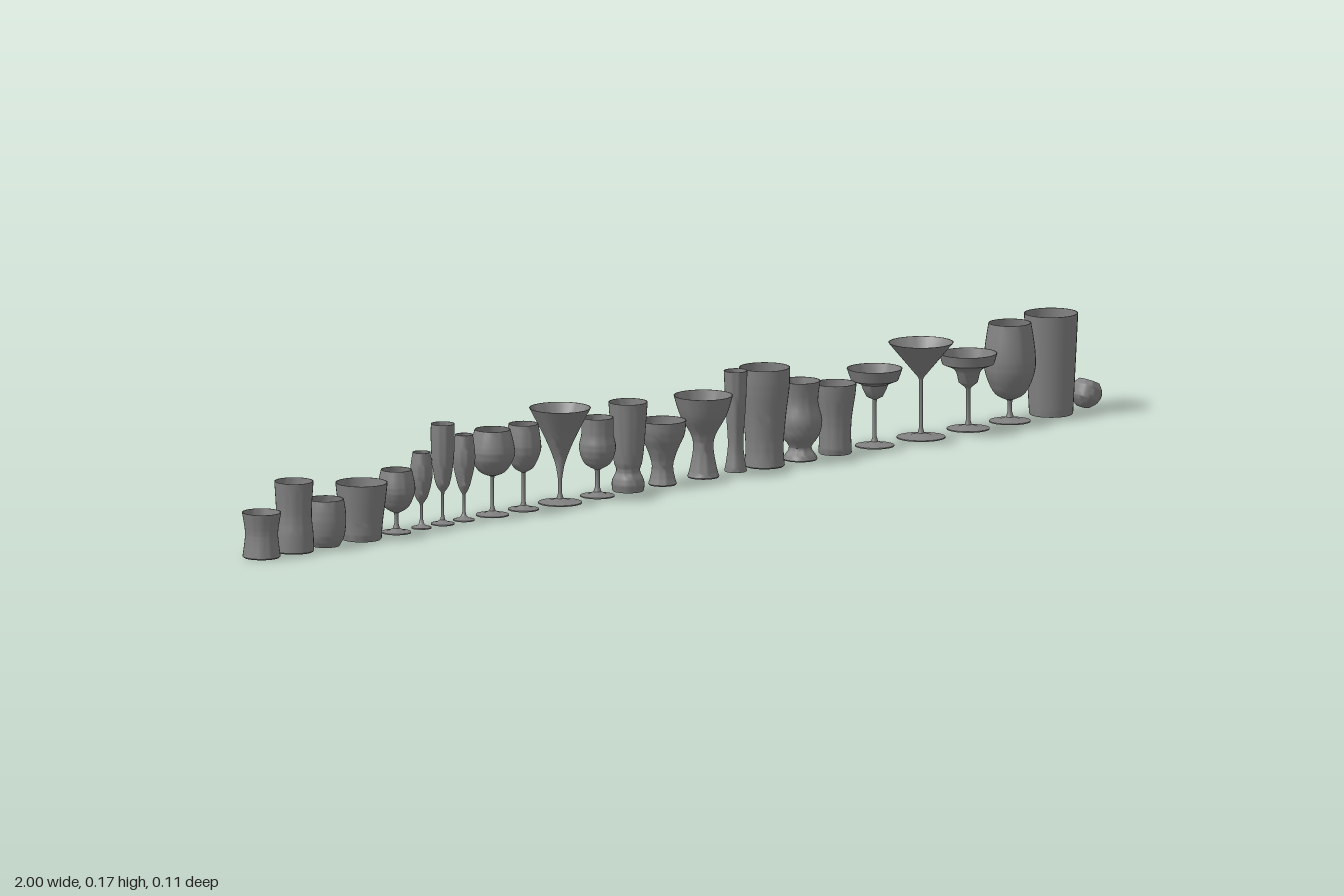
import * as THREE from 'three';
import { toCreasedNormals } from 'three/addons/utils/BufferGeometryUtils.js';

const WALL = 0.0016;
const material = new THREE.MeshStandardMaterial({ color: 0x808080, side: THREE.DoubleSide });
const toVectors = (list) => list.map(([r, y]) => new THREE.Vector2(r, y));
const smooth = (list, n = 18) => new THREE.SplineCurve(toVectors(list)).getPoints(n);

// Revolves base + bowl outside, then returns down the inside to a closed floor.
function glass(name, x, base, bowl, floor) {
  const inside = bowl
    .filter((p) => p.y > floor + 0.001)
    .map((p) => new THREE.Vector2(Math.max(p.x - WALL, 0.0005), p.y))
    .reverse();
  const last = inside[inside.length - 1];
  const profile = [
    ...toVectors(base), ...bowl, ...inside,
    new THREE.Vector2(last.x * 0.6, floor), new THREE.Vector2(0, floor),
  ];
  const geometry = toCreasedNormals(new THREE.LatheGeometry(profile, 32), 0.7);
  const mesh = new THREE.Mesh(geometry, material);
  mesh.name = name;
  mesh.position.x = x;
  return mesh;
}

// Flat-bottomed glass: points run from the bottom edge to the rim.
function tumbler(name, x, points, floor = 0.006) {
  const [r, y] = points[0];
  return glass(name, x, [[0, 0], [r * 0.95, 0]], smooth([[r, y + 0.002], ...points.slice(1)]), floor);
}

// Stemmed glass: disc foot, thin stem, then a curved or straight-sided bowl.
function stemware(name, x, foot, stem, points, straight = false) {
  const y0 = points[0][1];
  const base = [
    [0, 0], [foot, 0], [foot, 0.002], [foot * 0.5, 0.004], [stem * 1.7, 0.008],
    [stem, 0.016], [stem, y0 - 0.004],
  ];
  return glass(name, x, base, straight ? toVectors(points) : smooth(points), y0 + 0.003);
}

export function createModel() {
  const group = new THREE.Group();
  group.name = 'glassRow';

  group.add(
    // Short tumblers
    tumbler('waistedTumbler', -0.967, [[0.032, 0], [0.029, 0.025], [0.028, 0.045], [0.033, 0.077]]),
    tumbler('tallWaistedTumbler', -0.891, [[0.034, 0], [0.033, 0.03], [0.030, 0.065], [0.033, 0.12]]),
    tumbler('roundTumbler', -0.817, [[0.025, 0], [0.032, 0.016], [0.035, 0.04], [0.034, 0.062], [0.031, 0.08]]),
    tumbler('bucketTumbler', -0.732, [[0.034, 0], [0.036, 0.03], [0.041, 0.07], [0.044, 0.097]]),

    // Goblet and flutes
    stemware('smallGoblet', -0.65, 0.025, 0.0035,
      [[0.004, 0.034], [0.021, 0.045], [0.031, 0.068], [0.031, 0.084], [0.026, 0.108]]),
    stemware('shortFlute', -0.591, 0.017, 0.0025,
      [[0.003, 0.042], [0.012, 0.058], [0.019, 0.093], [0.015, 0.13]]),
    stemware('tallFlute', -0.541, 0.02, 0.0025,
      [[0.003, 0.055], [0.012, 0.07], [0.018, 0.105], [0.020, 0.14], [0.020, 0.172]]),
    stemware('tulipFlute', -0.491, 0.018, 0.0025,
      [[0.003, 0.045], [0.011, 0.063], [0.019, 0.105], [0.015, 0.147]]),

    // Wine glasses and cone glass
    stemware('roundWineGlass', -0.424, 0.028, 0.003,
      [[0.004, 0.067], [0.023, 0.076], [0.037, 0.1], [0.037, 0.119], [0.030, 0.147]]),
    stemware('wineGlass', -0.351, 0.026, 0.003,
      [[0.004, 0.064], [0.018, 0.074], [0.029, 0.1], [0.029, 0.119], [0.025, 0.147]]),
    stemware('deepConeGlass', -0.265, 0.037, 0.0035,
      [[0.004, 0.045], [0.009, 0.07], [0.024, 0.108], [0.052, 0.163]]),
    stemware('balloonGlass', -0.177, 0.029, 0.004,
      [[0.005, 0.046], [0.023, 0.058], [0.031, 0.083], [0.027, 0.107], [0.027, 0.135]]),

    // Footed tumblers and dessert glasses
    tumbler('footedBeerGlass', -0.105,
      [[0.027, 0], [0.027, 0.018], [0.020, 0.035], [0.024, 0.05], [0.028, 0.085], [0.033, 0.152]], 0.038),
    tumbler('shortFlaredGlass', -0.024,
      [[0.024, 0], [0.021, 0.012], [0.018, 0.033], [0.025, 0.058], [0.037, 0.085], [0.040, 0.11]], 0.03),
    tumbler('wideFlaredGlass', 0.072,
      [[0.027, 0], [0.023, 0.015], [0.017, 0.052], [0.022, 0.075], [0.039, 0.105], [0.050, 0.14]], 0.045),
    tumbler('slimTallGlass', 0.148,
      [[0.019, 0], [0.016, 0.018], [0.013, 0.05], [0.017, 0.11], [0.020, 0.172]], 0.025),
    tumbler('pintGlass', 0.216,
      [[0.034, 0], [0.032, 0.035], [0.036, 0.085], [0.042, 0.135], [0.043, 0.169]]),
    tumbler('tulipBeerGlass', 0.3,
      [[0.029, 0], [0.027, 0.007], [0.019, 0.022], [0.032, 0.042], [0.037, 0.068], [0.030, 0.1], [0.034, 0.135]], 0.026),
    tumbler('flaredTumbler', 0.382,
      [[0.028, 0], [0.027, 0.03], [0.028, 0.06], [0.034, 0.1], [0.036, 0.12]]),

    // Stepped-bowl and cone cocktail glasses
    stemware('steppedCocktailGlass', 0.475, 0.033, 0.0035,
      [[0.004, 0.08], [0.014, 0.085], [0.02, 0.097], [0.023, 0.106], [0.04, 0.113], [0.047, 0.133]], true),
    stemware('coneCocktailGlass', 0.584, 0.041, 0.0035,
      [[0.004, 0.102], [0.0085, 0.1074], [0.055, 0.163]], true),
    stemware('wideSteppedCocktailGlass', 0.695, 0.036, 0.0035,
      [[0.006, 0.072], [0.016, 0.08], [0.020, 0.097], [0.025, 0.104], [0.044, 0.112], [0.049, 0.13]], true),

    // Large glasses
    stemware('largeWineGlass', 0.793, 0.035, 0.004,
      [[0.005, 0.037], [0.027, 0.05], [0.042, 0.085], [0.043, 0.12], [0.036, 0.169]]),
    tumbler('tallBeerGlass', 0.89, [[0.037, 0], [0.038, 0.02], [0.042, 0.1], [0.0455, 0.173]], 0.01),
  );

  // Small round glass resting at a tilt
  const ball = glass('tiltedRoundGlass', 0.972, [[0, -0.026], [0.009, -0.025]],
    smooth([[0.013, -0.023], [0.023, -0.013], [0.027, 0], [0.025, 0.01], [0.018, 0.02]]), -0.023);
  ball.rotation.z = -0.42;
  ball.position.y = 0.026;
  group.add(ball);
  return group;
}
